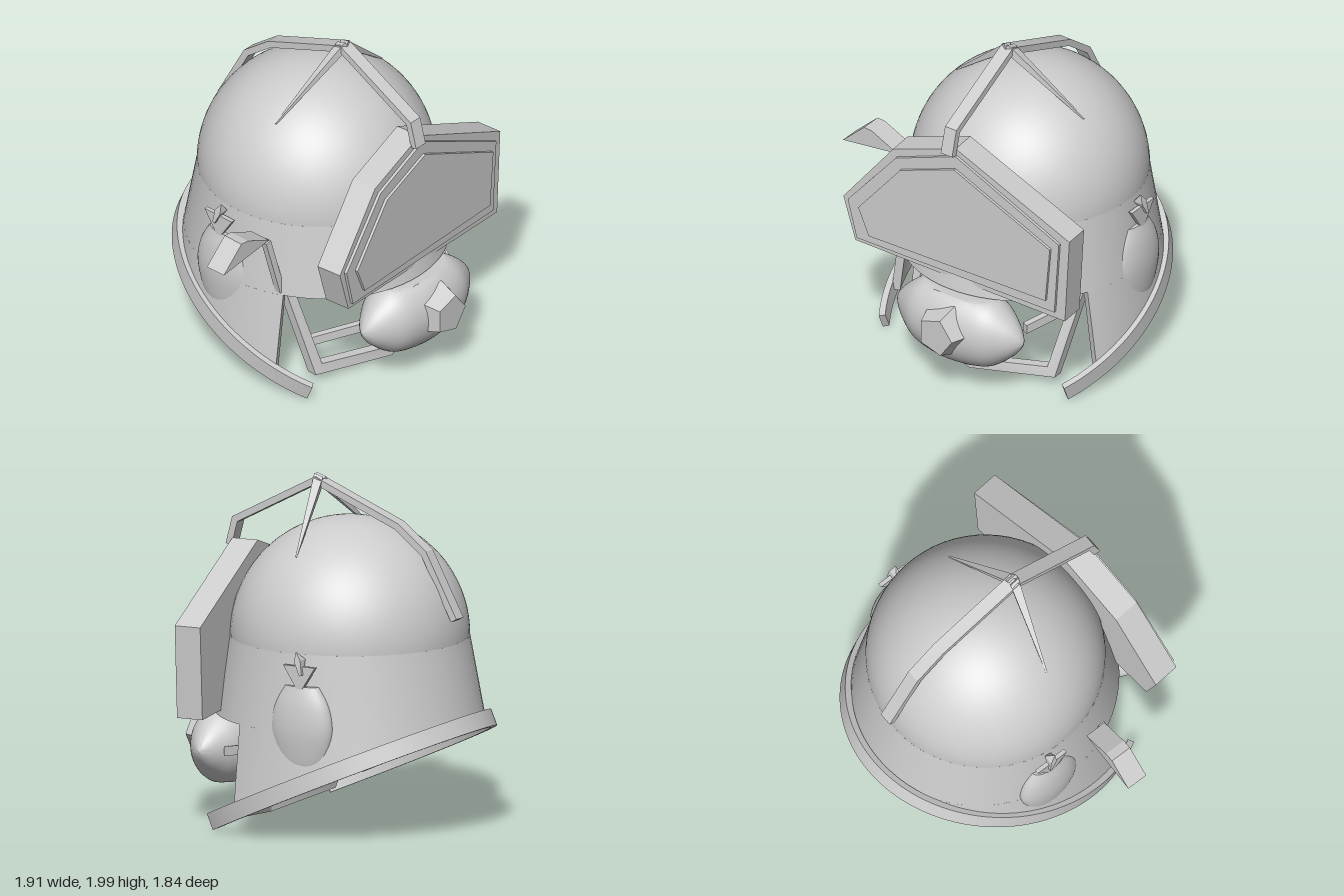
import * as THREE from 'three';
import { toCreasedNormals } from 'three/addons/utils/BufferGeometryUtils.js';

const V = (x, y, z) => new THREE.Vector3(x, y, z);
const CX = 0.155, CZ = -0.06, R = 0.685, SEAM = 1.09, BROW = 0.64, CUT = 0.28;

// Closed solid from a list of equally long cross-section loops, capped at both ends.
function loft(loops, crease = 0.6) {
  const n = loops[0].length, pos = loops.flat().flatMap(p => [p.x, p.y, p.z]), index = [];
  for (let i = 0; i < loops.length - 1; i++) {
    for (let j = 0; j < n; j++) {
      const a = i * n + j, b = i * n + (j + 1) % n;
      index.push(a, b, a + n, b, b + n, a + n);
    }
  }
  const e = (loops.length - 1) * n, h = n / 2;
  for (let j = 0; j < h - 1; j++) {
    // ladder caps between the outer and inner half of a loop
    const a = j, b = j + 1, c = n - 2 - j, d = n - 1 - j;
    index.push(a, d, b, b, d, c, e + a, e + b, e + d, e + b, e + c, e + d);
  }
  const g = new THREE.BufferGeometry();
  g.setAttribute('position', new THREE.Float32BufferAttribute(pos, 3));
  g.setIndex(index);
  return toCreasedNormals(g, crease);
}

// Mitred rectangular bar along a path; "across" is the fixed width direction.
function bar(points, across, width, thick, scales = []) {
  const loops = points.map((p, i) => {
    const t0 = points[Math.max(i - 1, 0)], t1 = points[Math.min(i + 1, points.length - 1)];
    const dirA = p.clone().sub(t0).normalize(), dirB = t1.clone().sub(p).normalize();
    const t = dirA.clone().add(dirB).normalize();
    const mitre = i > 0 && i < points.length - 1 ? 1 / Math.max(t.dot(dirA), 0.5) : 1;
    const k = (scales[i] ?? 1) / 2;
    const n = across.clone().cross(t).normalize().multiplyScalar(thick * mitre * k);
    const w = across.clone().normalize().multiplyScalar(width * k);
    const at = (s, q) => p.clone().addScaledVector(w, s).addScaledVector(n, q);
    return [at(1, 1), at(-1, 1), at(-1, -1), at(1, -1)];
  });
  return loft(loops, 0.3);
}

function polygon(points) {
  return new THREE.Shape(points.map(([x, y]) => new THREE.Vector2(x, y)));
}
const slab = (points, depth) =>
  new THREE.ExtrudeGeometry(polygon(points), { depth, bevelEnabled: false });

// Flared skirt surface: an ellipse that widens downwards; theta is measured from the back.
function skirtPoint(theta, y, inset) {
  const d = SEAM - y, rx = R + 0.11 * d - inset, rz = R + 0.21 * d - inset;
  return V(CX + rx * Math.sin(theta), y, CZ - rz * Math.cos(theta));
}
const rimHeight = z => 0.055 + (0.48 - z) * 0.442;

// Height where the skirt meets the tilted rim, for an angle that may depend on height.
function rimMeet(angleAt) {
  let y = 0.5;
  for (let i = 0; i < 15; i++) y = rimHeight(skirtPoint(angleAt(y), y, 0).z);
  return y;
}

function skirtLoop(angleAt, top, bottom) {
  const rows = 8, outer = [], inner = [];
  for (let i = 0; i <= rows; i++) {
    const y = top + (bottom - top) * i / rows;
    outer.push(skirtPoint(angleAt(y), y, 0));
    inner.unshift(skirtPoint(angleAt(y), y, 0.05));
  }
  return [...outer, ...inner];
}

export function createModel() {
  const model = new THREE.Group();
  const grey = new THREE.MeshStandardMaterial({ color: 0xcccccc, side: THREE.DoubleSide });
  grey.name = 'light grey';
  const add = (name, geometry, parent = model) => {
    const m = new THREE.Mesh(geometry, grey);
    m.name = name;
    parent.add(m);
    return m;
  };

  // Dome
  add('dome', new THREE.SphereGeometry(R, 64, 24, 0, Math.PI * 2, 0, Math.PI / 2))
    .position.set(CX, SEAM, CZ);

  // Upper skirt all round, lower skirt open at the face
  const upper = [], lower = [];
  for (let i = 0; i <= 72; i++) {
    const u = i / 36 - 1;
    const full = () => u * Math.PI;
    upper.push(skirtLoop(full, SEAM, Math.max(BROW, Math.min(rimMeet(full), 0.75))));
    const open = y => u * Math.acos((CZ - CUT) / (R + 0.21 * (SEAM - y)));
    lower.push(skirtLoop(open, BROW, Math.min(rimMeet(open), BROW - 0.005)));
  }
  add('upperSkirt', loft(upper));
  add('lowerSkirt', loft(lower));

  // Tilted rim band
  const a = 0.608, rim = new THREE.Shape();
  rim.absellipse(0, 0, 0.8, 0.956, Math.PI - a, 2 * Math.PI + a, false);
  rim.absellipse(0, 0, 0.762, 0.918, 2 * Math.PI + a, Math.PI - a, true);
  const rimGeo = new THREE.ExtrudeGeometry(rim, { depth: 0.1, bevelEnabled: false, curveSegments: 64 });
  rimGeo.translate(0, 0, -0.05).rotateX(Math.PI / 2 + 0.416);
  add('rimBand', toCreasedNormals(rimGeo, 0.5)).position.set(CX, 0.276, -0.02);

  // Visor: deep housing with two stepped plates, turned slightly to one side
  const visor = new THREE.Group();
  visor.name = 'visor';
  visor.position.set(0.16, 0, 0.7);
  visor.rotation.y = 0.087;
  model.add(visor);
  add('visorHousing', slab([[-0.72, 1.02], [-0.39, 1.44], [0.03, 1.58], [0.79, 1.2], [0.76, 0.66], [-0.64, 0.75]], 0.16), visor)
    .position.z = -0.16;
  add('visorFrame', slab([[-0.68, 1.02], [-0.36, 1.4], [0.04, 1.54], [0.73, 1.17], [0.7, 0.71], [-0.62, 0.78]], 0.018), visor);
  add('visorPanel', slab([[-0.6, 1.0], [-0.32, 1.34], [0.04, 1.46], [0.68, 1.13], [0.65, 0.78], [-0.53, 0.83]], 0.035), visor);

  // Crest bar over the top with a pair of tapered side spikes
  add('crestBar', bar([[0.72, 1.54], [0.68, 1.69], [0.15, 1.965], [-0.39, 1.75], [-0.57, 1.61], [-0.77, 1.24]]
    .map(([z, y]) => V(CX, y, z)), V(1, 0, 0), 0.08, 0.04));
  for (const s of [1, -1]) {
    add('crestSpike', bar([V(CX, 1.975, 0.145), V(CX + s * 0.45, 1.6, 0.03)], V(0, 0.3, 1), 0.06, 0.05, [1, 0.15]));
  }

  // Ear pods with small pointed ornaments
  for (const s of [1, -1]) {
    const pod = new THREE.LatheGeometry(
      new THREE.SplineCurve([[0.1, -0.265], [0.16, -0.17], [0.2, 0], [0.175, 0.15], [0.11, 0.265]]
        .map(p => new THREE.Vector2(...p))).getPoints(20), 32);
    pod.scale(0.45, 1, 1);
    const podMesh = add('earPod', pod);
    podMesh.position.set(CX + s * 0.68, 0.645, -0.145);
    for (const [y, r] of [[0.265, 0.11], [-0.265, 0.1]]) {
      const lid = add('earPodEnd', new THREE.CircleGeometry(r, 32).rotateX(y > 0 ? -Math.PI / 2 : Math.PI / 2).scale(0.45, 1, 1));
      lid.position.copy(podMesh.position);
      lid.position.y += y;
    }
    const tri = slab([[0.05, 1.03], [0.26, 1.03], [0.155, 0.87]], 0.025).rotateY(Math.PI / 2);
    add('earTriangle', tri).position.x = CX + s * 0.72 - 0.0125;
    add('earSpike', bar([V(CX + s * 0.73, 1.11, -0.135), V(CX + s * 0.715, 1.06, -0.15), V(CX + s * 0.74, 0.98, -0.175)],
      V(1, 0, 0), 0.06, 0.04, [0.1, 1, 0.4]));
  }

  // Respirator: spindle lying along x, flattened above and below
  const half = [[0, 0.445], [0.05, 0.42], [0.12, 0.36], [0.205, 0.25], [0.24, 0.12]];
  const profile = [...half.map(([r, x]) => [r, -x]), [0.25, 0], ...half.slice().reverse()];
  const spindle = new THREE.LatheGeometry(
    new THREE.SplineCurve(profile.map(p => new THREE.Vector2(...p))).getPoints(48).map(p => p.setX(Math.max(p.x, 0))), 48);
  spindle.rotateZ(-Math.PI / 2).scale(1, 1, 0.82);
  const sp = spindle.attributes.position;
  for (let i = 0; i < sp.count; i++) sp.setY(i, THREE.MathUtils.clamp(sp.getY(i), -0.21, 0.21));
  add('respirator', toCreasedNormals(spindle, 0.4)).position.set(0.195, 0.415, 0.655);

  // Five-sided nozzle
  const nozzle = new THREE.CylinderGeometry(0.12, 0.165, 0.125, 5).rotateX(Math.PI / 2).rotateZ(0.33);
  add('nozzle', toCreasedNormals(nozzle, 0.2)).position.set(0.21, 0.44, 0.862);

  // Respirator arms
  add('lowerArm', bar([V(-0.32, 0.21, 0.25), V(0.02, 0.29, 0.5)], V(0, 1, 0), 0.055, 0.04));
  add('upperArm', bar([V(0.55, 0.42, 0.52), V(0.66, 0.475, 0.26)], V(0, 1, 0), 0.055, 0.04));

  // Chin guard hanging from the brow
  add('chinGuard', bar([V(-0.41, 0.68, 0.18), V(-0.335, 0.1, 0.37), V(CX, 0.04, 0.49), V(0.645, 0.1, 0.37), V(0.735, 0.68, 0.18)],
    V(0, 0, 1), 0.06, 0.06));

  // Folded side wing with its stick
  add('sideWing', slab([[-0.955, 0.98], [-0.57, 1.03], [-0.75, 1.115], [-0.805, 1.12]], 0.13)).position.z = 0.1;
  add('wingStick', bar([V(-0.58, 1.02, 0.215), V(-0.5, 0.66, 0.25)], V(0, 0, 1), 0.04, 0.04));

  return model;
}
